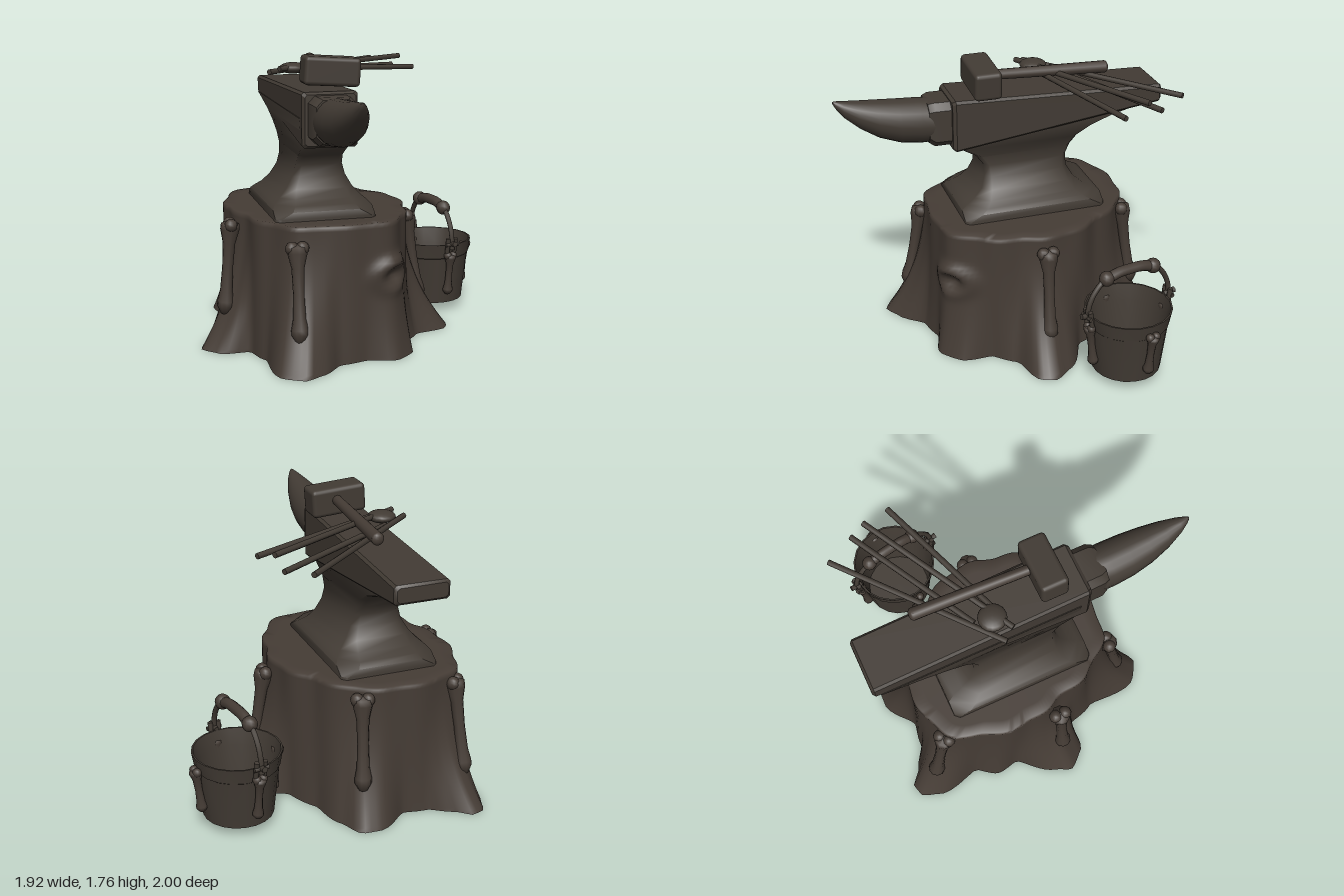
import * as THREE from 'three';
import { mergeGeometries, toCreasedNormals } from 'three/addons/utils/BufferGeometryUtils.js';
import { RoundedBoxGeometry } from 'three/addons/geometries/RoundedBoxGeometry.js';

const V = (x, y, z) => new THREE.Vector3(x, y, z);
const UP = V(0, 1, 0);

// Skin a list of equal-length closed rings; rings run counterclockwise about the travel direction
function loft(rings, capStart, capEnd, crease) {
  const n = rings[0].length, pos = [], idx = [];
  rings.forEach(r => r.forEach(p => pos.push(p.x, p.y, p.z)));
  for (let i = 0; i < rings.length - 1; i++) for (let j = 0; j < n; j++) {
    const k = (j + 1) % n, a = i * n + j, b = i * n + k;
    idx.push(a, b, b + n, a, b + n, a + n);
  }
  const cap = (row, flip) => {
    const c = rings[row].reduce((s, p) => s.add(p), V(0, 0, 0)).divideScalar(n);
    const ci = pos.length / 3;
    pos.push(c.x, c.y, c.z);
    for (let j = 0; j < n; j++) {
      const a = row * n + j, b = row * n + (j + 1) % n;
      flip ? idx.push(ci, b, a) : idx.push(ci, a, b);
    }
  };
  if (capStart) cap(0, true);
  if (capEnd) cap(rings.length - 1, false);
  const g = new THREE.BufferGeometry();
  g.setAttribute('position', new THREE.Float32BufferAttribute(pos, 3));
  g.setIndex(idx);
  g.computeVertexNormals();
  return toCreasedNormals(g, crease);
}

// Chamfered rectangle, counterclockwise in (u, v)
const rect = (u0, u1, v0, v1, c) => [
  [u0 + c, v0], [u1 - c, v0], [u1, v0 + c], [u1, v1 - c],
  [u1 - c, v1], [u0 + c, v1], [u0, v1 - c], [u0, v0 + c]];

// Radius as a function of angle through a rough outline of [x, z] points
function polar(points, cx, cz) {
  const p = points.map(([x, z]) => [Math.atan2(x - cx, z - cz), Math.hypot(x - cx, z - cz)])
    .sort((a, b) => a[0] - b[0]);
  const T = Math.PI * 2, m = p.length;
  const all = [[p[m - 1][0] - T, p[m - 1][1]], ...p, [p[0][0] + T, p[0][1]]];
  return a => {
    let i = 0;
    while (i < all.length - 2 && all[i + 1][0] < a) i++;
    const s = (a - all[i][0]) / (all[i + 1][0] - all[i][0] || 1);
    return THREE.MathUtils.lerp(all[i][1], all[i + 1][1], s * 0.5 + s * s * (3 - 2 * s) * 0.5);
  };
}

// Round rod between two points
function rod(a, b, ra, rb, seg = 10) {
  const d = b.clone().sub(a), g = new THREE.CylinderGeometry(rb, ra, d.length(), seg);
  g.applyQuaternion(new THREE.Quaternion().setFromUnitVectors(UP, d.normalize()));
  return g.translate((a.x + b.x) / 2, (a.y + b.y) / 2, (a.z + b.z) / 2);
}

// Bone from its knobbed top to its tapered bottom; side is the direction the knobs spread in
function bone(top, bottom, r, side) {
  const d = top.clone().sub(bottom), L = d.length();
  const prof = [[0, 0], [0.55, 0.03], [1, 0.1], [1, 0.15], [0.75, 0.26], [0.65, 0.5],
    [0.75, 0.75], [1.15, 0.89], [1.1, 0.95], [0, 0.99]];
  const shaft = new THREE.LatheGeometry(prof.map(([x, y]) => new THREE.Vector2(x * r, y * L)), 10);
  shaft.applyQuaternion(new THREE.Quaternion().setFromUnitVectors(UP, d.normalize()));
  shaft.translate(bottom.x, bottom.y, bottom.z);
  const knobs = [-1, 1].map(s => {
    const k = top.clone().addScaledVector(d, -0.06 * L).addScaledVector(side, s * r * 0.6);
    return new THREE.SphereGeometry(r * 0.8, 10, 8).translate(k.x, k.y, k.z);
  });
  return mergeGeometries([shaft, ...knobs]);
}

export function createModel() {
  const root = new THREE.Group();
  const mat = (name, color) => {
    const m = new THREE.MeshStandardMaterial({ color, side: THREE.DoubleSide });
    m.name = name;
    return m;
  };
  const wood = mat('darkWood', 0x453c35);
  const iron = mat('darkIron', 0x423b34);
  const add = (name, geo, m, parent = root) => {
    const mesh = new THREE.Mesh(geo, m);
    mesh.name = name;
    parent.add(mesh);
    return mesh;
  };

  // Stump: a rounded top outline flaring into root tips, hollow below
  const CX = -0.2, CZ = -0.16, H = 0.82;
  const topR = polar([[-0.4, -0.77], [-0.15, -0.77], [0.03, -0.69], [0.19, -0.49], [0.33, -0.2], [0.3, 0.03],
    [0.23, 0.25], [0.1, 0.42], [-0.2, 0.45], [-0.45, 0.42], [-0.6, 0.25], [-0.68, 0], [-0.74, -0.2],
    [-0.7, -0.5], [-0.6, -0.7]], CX, CZ);
  const baseR = polar([[-0.62, -0.97], [-0.54, -0.9], [-0.4, -0.82], [-0.25, -0.8], [-0.06, -0.93],
    [0.06, -0.92], [0.13, -0.78], [0.2, -0.55], [0.3, -0.36], [0.55, -0.2], [0.63, -0.09], [0.6, 0],
    [0.38, 0.07], [0.27, 0.2], [0.25, 0.4], [0.13, 0.5], [-0.05, 0.46], [-0.22, 0.5], [-0.36, 0.64],
    [-0.47, 0.7], [-0.59, 0.63], [-0.62, 0.3], [-0.68, 0.13], [-0.86, 0.12], [-0.96, 0], [-0.92, -0.08],
    [-0.76, -0.3], [-0.78, -0.45], [-0.7, -0.56], [-0.75, -0.83], [-0.7, -0.95]], CX, CZ);
  const N = 144, ROWS = 36, knotA = Math.atan2(0.33, 0.58);
  const stumpRing = (y, inset) => Array.from({ length: N }, (_, j) => {
    const a = -Math.PI + (j / N) * Math.PI * 2, t = y / H;
    let r = THREE.MathUtils.lerp(topR(a), baseR(a), Math.pow(1 - t, 2.2)) - inset;
    r += 0.008 * Math.sin(a * 13 + 1) * t;
    // knot with a raised lip, heavier above, and a shallow hollow
    const u = (a - knotA) * r * 0.75, v = y - 0.49, d = Math.hypot(u, v);
    r += (0.028 + 0.15 * v) * Math.exp(-(((d - 0.08) / 0.04) ** 2)) - 0.035 * Math.exp(-((d / 0.05) ** 2));
    return V(CX + r * Math.sin(a), y, CZ + r * Math.cos(a));
  });
  const stumpRings = Array.from({ length: ROWS }, (_, i) => stumpRing((i / (ROWS - 1)) * 0.812, 0));
  stumpRings.push(stumpRing(H, 0.01), stumpRing(H, 0.08));
  add('stump', loft(stumpRings, false, true, 3), wood);

  // Bones fixed round the stump: top, bottom, spread direction of the knobs
  [[[-0.46, 0.74, 0.445], [-0.47, 0.16, 0.55], [1, 0, 0.1]],
    [[-0.76, 0.79, -0.02], [-0.81, 0.2, 0], [0, 0, 1]],
    [[0.36, 0.76, -0.12], [0.45, 0.16, -0.11], [0, 0, 1]],
    [[-0.6, 0.79, -0.7], [-0.64, 0.18, -0.81], [0.75, 0, -0.65]],
    [[-0.01, 0.79, -0.73], [0.01, 0.2, -0.81], [1, 0, 0.3]]]
    .forEach(([t, b, s]) => add('stumpBone', bone(V(...t), V(...b), 0.05, V(...s)), wood));

  // Anvil foot with low corners, and waist: height, back z, front z, half width, chamfer
  const AX = -0.23;
  add('anvilWaist', loft([
    [0.81, -0.6, 0.29, 0.3, 0.025], [0.835, -0.6, 0.29, 0.3, 0.03], [0.875, -0.6, 0.29, 0.3, 0.1],
    [0.9, -0.56, 0.25, 0.28, 0.1], [0.93, -0.5, 0.2, 0.245, 0.08],
    [0.98, -0.44, 0.15, 0.2, 0.05], [1.05, -0.4, 0.125, 0.16, 0.035], [1.12, -0.4, 0.125, 0.14, 0.03],
    [1.18, -0.43, 0.17, 0.135, 0.03], [1.24, -0.48, 0.27, 0.14, 0.03], [1.3, -0.57, 0.28, 0.146, 0.02],
    [1.35, -0.7, 0.28, 0.15, 0.02], [1.42, -0.97, 0.28, 0.155, 0.02]]
    .map(([y, z0, z1, w, c]) => rect(z0, z1, AX - 0.015 - w, AX - 0.015 + w, c).map(([u, v]) => V(v, y, u))),
  false, true, 1.1), iron);

  // Anvil face, tapering to the heel: z, bottom, top, half width
  const bar = (rows, c) => loft(rows.map(([z, b, t, w]) =>
    rect(AX - w, AX + w, b, t, c).map(([u, v]) => V(u, v, z))), true, true, 0.6);
  add('anvilFace', bar([[-1, 1.425, 1.51, 0.15], [-0.985, 1.41, 1.523, 0.165],
    [0.305, 1.25, 1.573, 0.165], [0.325, 1.265, 1.56, 0.15]], 0.015), iron);
  add('hornNeck', bar([[0.3, 1.28, 1.553, 0.132], [0.42, 1.28, 1.555, 0.13], [0.455, 1.3, 1.545, 0.115]], 0.04), iron);

  // Horn: z, bottom, top, half width
  add('horn', loft([[0.4, 1.285, 1.55, 0.128], [0.5, 1.285, 1.56, 0.13], [0.62, 1.305, 1.568, 0.124],
    [0.74, 1.35, 1.578, 0.107], [0.85, 1.42, 1.588, 0.08], [0.94, 1.5, 1.598, 0.046], [0.985, 1.56, 1.604, 0.02],
    [1, 1.59, 1.603, 0.006]].map(([z, b, t, w]) => Array.from({ length: 20 }, (_, j) => {
    const a = (j / 20) * Math.PI * 2;
    return V(AX + w * Math.cos(a), (b + t) / 2 + (t - b) / 2 * Math.sin(a), z);
  })), true, true, 1), iron);

  // Hammer lying on the face
  const head = add('hammerHead', new RoundedBoxGeometry(0.335, 0.168, 0.165, 2, 0.025), iron);
  head.position.set(-0.18, 1.67, 0.12);
  head.rotation.z = -0.07;
  add('hammerHandle', mergeGeometries([
    rod(V(-0.165, 1.68, 0.08), V(-0.125, 1.662, -0.635), 0.03, 0.037, 12),
    new THREE.SphereGeometry(0.037, 12, 8).scale(1, 1, 0.6).translate(-0.125, 1.662, -0.635)]), wood);

  // Loose rods and the flat knob where they meet
  [[-0.47, 1.63, -0.23, 0.36, 1.625, -0.93], [-0.3, 1.63, -0.35, 0.46, 1.595, -0.76],
    [-0.42, 1.655, -0.17, 0.48, 1.66, -0.67], [-0.28, 1.65, -0.22, 0.525, 1.605, -0.51]]
    .forEach(p => add('ironRod', rod(V(p[0], p[1], p[2]), V(p[3], p[4], p[5]), 0.017, 0.017, 8), iron));
  add('rodKnob', new THREE.SphereGeometry(0.082, 16, 10).scale(1, 0.42, 1).translate(-0.32, 1.65, -0.25), iron);

  // Bucket, with its handle running along its own z
  const bucket = new THREE.Group();
  bucket.name = 'bucket';
  bucket.position.set(0.668, 0, -0.515);
  bucket.rotation.y = 0.18;
  root.add(bucket);
  const pail = new THREE.LatheGeometry([[0, 0.065], [0.207, 0.065], [0.24, 0.37], [0.246, 0.375], [0.262, 0.468],
    [0.252, 0.468], [0.232, 0.37], [0.198, 0.08], [0, 0.08]].map(([x, y]) => new THREE.Vector2(x, y)), 20);
  add('pail', toCreasedNormals(pail, 0.7), iron, bucket);
  for (let i = 0; i < 4; i++) {
    const s = Math.sin(i * Math.PI / 2), c = Math.cos(i * Math.PI / 2);
    add('pailBone', bone(V(s * 0.268, 0.415, c * 0.268), V(s * 0.23, 0.125, c * 0.23), 0.033, V(c, 0, -s)), wood, bucket);
  }
  const arc = [[0.44, -0.285], [0.54, -0.275], [0.62, -0.24], [0.69, -0.17], [0.715, 0],
    [0.69, 0.17], [0.62, 0.24], [0.54, 0.275], [0.44, 0.285]].map(([y, z]) => V(0, y, z));
  add('handle', new THREE.TubeGeometry(new THREE.CatmullRomCurve3(arc), 32, 0.016, 8), iron, bucket);
  const grip = [[0.69, -0.165], [0.715, -0.08], [0.718, 0], [0.715, 0.08], [0.69, 0.165]].map(([y, z]) => V(0, y, z));
  add('handleGrip', mergeGeometries([
    new THREE.TubeGeometry(new THREE.CatmullRomCurve3(grip), 16, 0.032, 10),
    ...[-1, 1].map(s => new THREE.SphereGeometry(0.046, 10, 8).translate(0, 0.695, s * 0.16))]), wood, bucket);
  for (const s of [-1, 1]) {
    add('handleLug', mergeGeometries([
      ...[-0.026, 0.026].map(x => rod(V(x, 0.41, s * 0.265), V(x, 0.515, s * 0.28), 0.014, 0.016, 8)),
      rod(V(-0.045, 0.475, s * 0.285), V(0.045, 0.475, s * 0.285), 0.013, 0.013, 8),
      rod(V(0, 0.475, s * 0.25), V(0, 0.485, s * 0.325), 0.015, 0.018, 8)]), iron, bucket);
  }
  return root;
}
